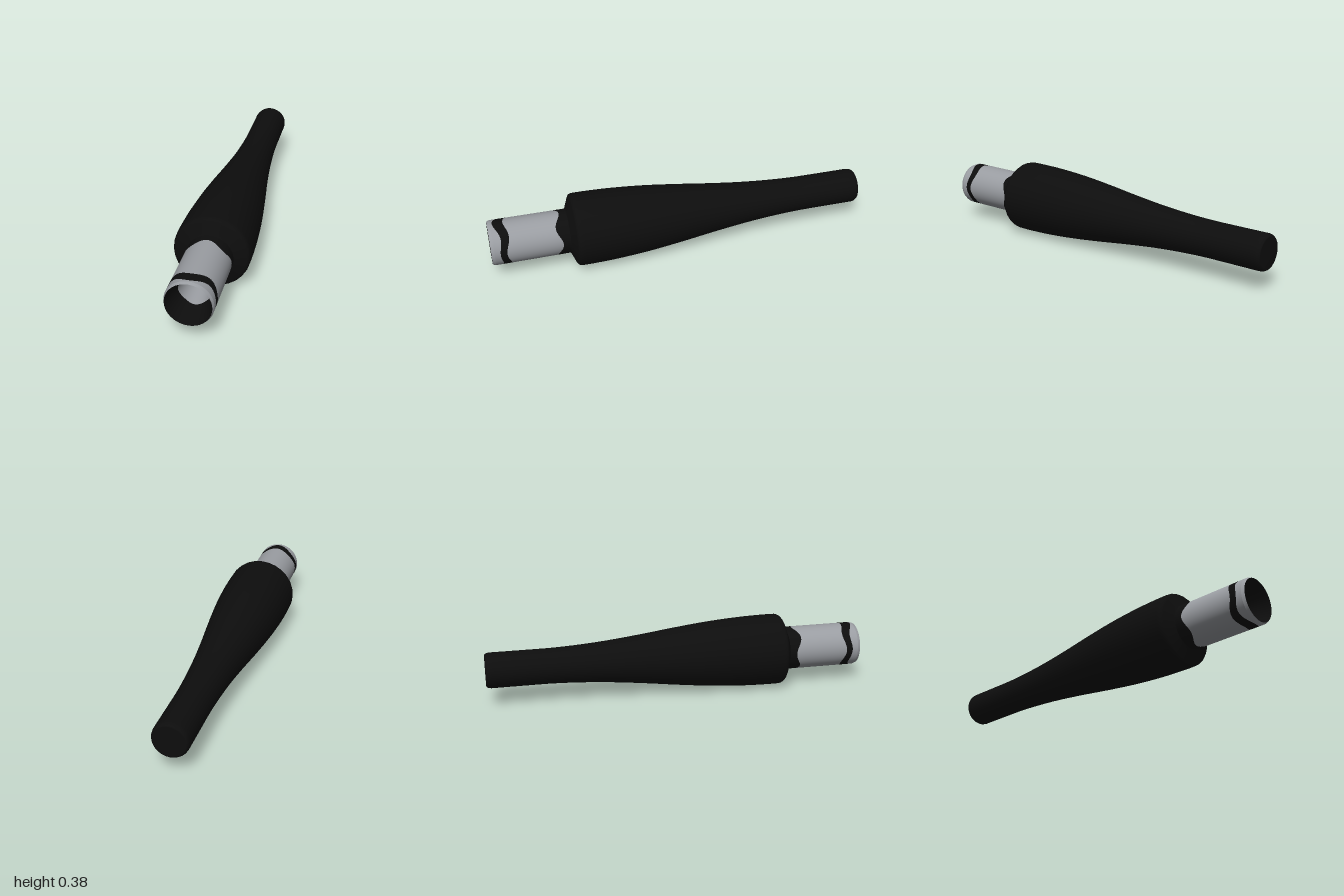
import * as THREE from 'three';

const AXIS_Y = 0.19;
const black = new THREE.MeshStandardMaterial({ name: 'black grip', color: 0x0d0d0d });
const grey = new THREE.MeshStandardMaterial({ name: 'grey metal', color: 0x9a9da2 });

// linear interpolation of radius over z from [z, r] pairs in rising z
function radiusAt(profile, z) {
  for (let i = 1; i < profile.length; i++) {
    const [z0, r0] = profile[i - 1], [z1, r1] = profile[i];
    if (z <= z1) return r0 + (r1 - r0) * Math.max(0, (z - z0) / (z1 - z0));
  }
  return profile[profile.length - 1][1];
}

// round surface between two edges, each a function angle -> z;
// running forward gives an outer wall, running backward an inner wall
function wall(name, material, profile, from, to, steps = 6, around = 64) {
  const pos = [], index = [];
  for (let j = 0; j <= steps; j++) {
    for (let i = 0; i < around; i++) {
      const a = (i / around) * Math.PI * 2;
      const z = from(a) + (to(a) - from(a)) * (j / steps);
      const r = radiusAt(profile, z);
      pos.push(r * Math.cos(a), r * Math.sin(a), z);
      if (j < steps) {
        const p = j * around + i, q = j * around + (i + 1) % around;
        index.push(p, q, p + around, q, q + around, p + around);
      }
    }
  }
  const g = new THREE.BufferGeometry();
  g.setAttribute('position', new THREE.Float32BufferAttribute(pos, 3));
  g.setIndex(index);
  g.computeVertexNormals();
  const mesh = new THREE.Mesh(g, material);
  mesh.name = name;
  return mesh;
}

export function createModel() {
  const model = new THREE.Group();
  model.name = 'handle with socket';
  const body = new THREE.Group();
  body.name = 'body';
  body.position.y = AXIS_Y;
  model.add(body);

  // tapered grip: smooth flank with a rounded tail and a shallow front shoulder
  const flank = new THREE.SplineCurve([
    [0.092, -0.975], [0.092, -0.8], [0.093, -0.65], [0.1, -0.5], [0.112, -0.35],
    [0.131, -0.18], [0.154, 0], [0.174, 0.18], [0.186, 0.35], [0.19, 0.48], [0.19, 0.55],
  ].map(([r, z]) => new THREE.Vector2(r, z))).getPoints(48);
  const v = (r, z) => new THREE.Vector2(r, z);
  const grip = new THREE.Mesh(new THREE.LatheGeometry([
    v(0, -1), v(0.078, -1), v(0.084, -0.998), v(0.09, -0.988),
    ...flank,
    v(0.188, 0.561), v(0.182, 0.57), v(0.174, 0.574), v(0.125, 0.594), v(0.114, 0.6),
  ], 28), black);
  grip.name = 'grip';
  grip.rotation.x = Math.PI / 2;
  body.add(grip);

  // socket tube with wavy colour borders
  const outer = [[0.57, 0.115], [0.985, 0.116], [1, 0.11]];
  const inner = [[0.56, 0], [0.6, 0.025], [0.67, 0.046], [0.88, 0.076], [0.95, 0.097], [1, 0.11]];
  const at = z => () => z;
  const wave = (z, four, two = 0) => a => z + four * Math.cos(4 * a) + two * Math.cos(2 * a);
  const collarEdge = wave(0.652, -0.015);
  const bandBack = wave(0.912, 0.01);
  const bandFront = wave(0.955, 0.01, -0.01);
  const liningEdge = wave(0.88, 0.004);
  const floorEdge = wave(0.668, 0.018);

  body.add(
    wall('collar', black, outer, at(0.58), collarEdge),
    wall('tube', grey, outer, collarEdge, bandBack),
    wall('tubeBand', black, outer, bandBack, bandFront),
    wall('tubeTip', grey, outer, bandFront, at(0.985)),
    wall('rimBevel', grey, outer, at(0.985), at(1), 2),
    wall('socketMouth', black, inner, at(1), liningEdge),
    wall('socketLining', grey, inner, liningEdge, floorEdge, 8),
    wall('socketFloor', black, inner, floorEdge, at(0.56), 8),
  );
  return model;
}
